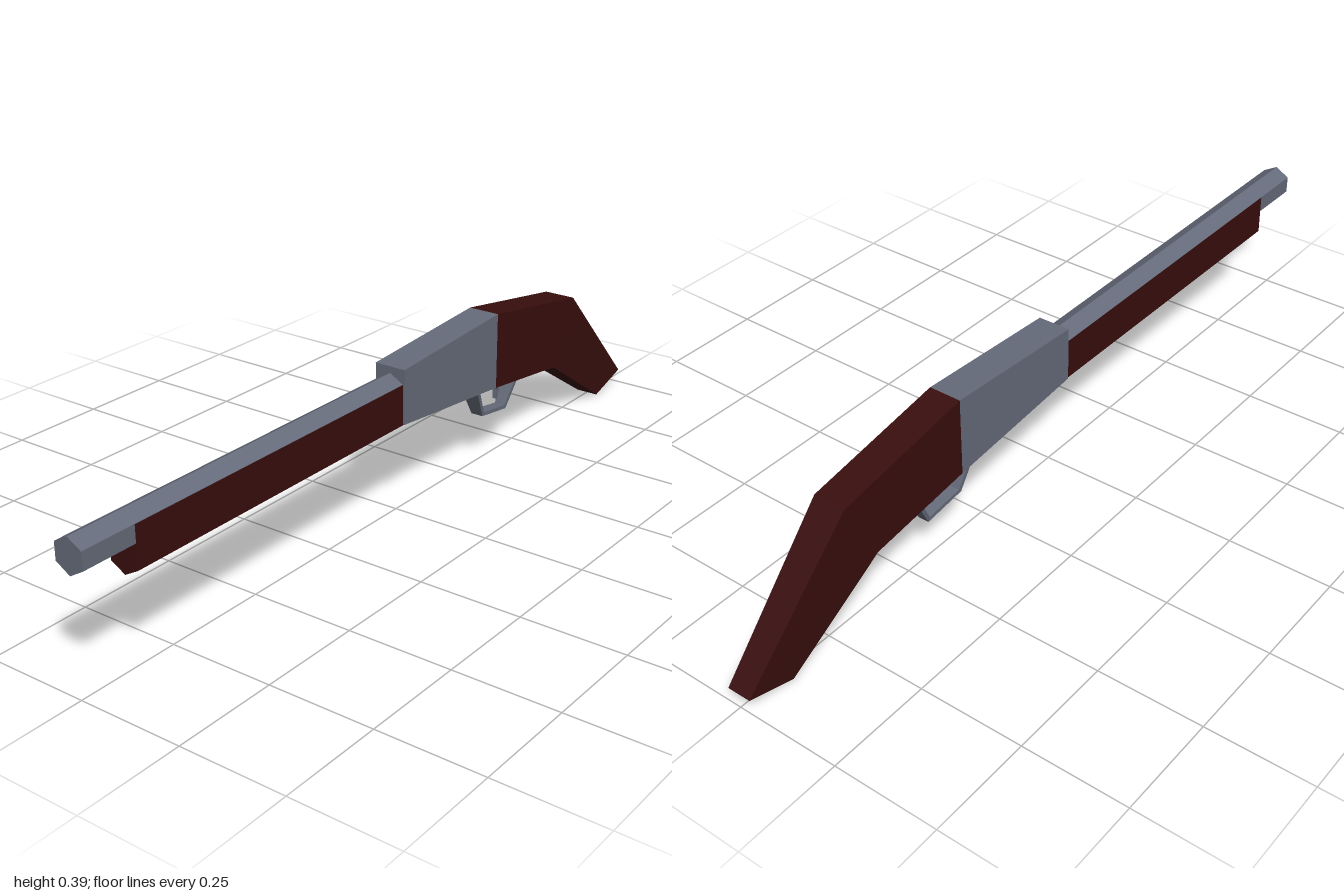
import * as THREE from 'three';

const steel = new THREE.MeshStandardMaterial({ color: 0x666c7b });
steel.name = 'blued steel';
const wood = new THREE.MeshStandardMaterial({ color: 0x390e0e });
wood.name = 'dark red wood';

// Joins matching rings of [x, y, z] points, front to back, and caps both ends.
// Each ring runs counter-clockwise as seen from the front.
function loft(name, material, rings) {
  const pos = [];
  const n = rings[0].length;
  const tri = (a, b, c) => pos.push(...a, ...b, ...c);
  for (let r = 0; r < rings.length - 1; r++) {
    const a = rings[r], b = rings[r + 1];
    for (let i = 0; i < n; i++) {
      const j = (i + 1) % n;
      tri(a[i], b[i], a[j]);
      tri(a[j], b[i], b[j]);
    }
  }
  const first = rings[0], last = rings[rings.length - 1];
  for (let i = 1; i < n - 1; i++) {
    tri(first[0], first[i], first[i + 1]);
    tri(last[0], last[i + 1], last[i]);
  }
  const geometry = new THREE.BufferGeometry();
  geometry.setAttribute('position', new THREE.Float32BufferAttribute(pos, 3));
  geometry.computeVertexNormals();
  const mesh = new THREE.Mesh(geometry, material);
  mesh.name = name;
  return mesh;
}

// Four-sided section: half width, lower edge (z, y), upper edge (z, y)
const slab = (w, [z0, y0], [z1, y1]) =>
  [[-w, y0, z0], [w, y0, z0], [w, y1, z1], [-w, y1, z1]];

// Upright six-sided section with points at top and bottom
const hex = (w, bottom, sideLow, sideHigh, top, z) => [
  [0, bottom, z], [w, sideLow, z], [w, sideHigh, z],
  [0, top, z], [-w, sideHigh, z], [-w, sideLow, z],
];

export function createModel() {
  const model = new THREE.Group();
  model.name = 'shotgun';

  // Barrel and the wooden fore-end wrapped around its sides
  model.add(loft('barrel', steel, [1, 0].map(z => hex(0.0353, 0.268, 0.289, 0.33, 0.35, z))));
  model.add(loft('foreEnd', wood, [0.865, 0].map(z => hex(0.0357, 0.211, 0.231, 0.329, 0.345, z))));

  // Wedge-shaped receiver
  model.add(loft('receiver', steel, [
    slab(0.04, [0.022, 0.233], [0.022, 0.366]),
    slab(0.04, [-0.357, 0.198], [-0.357, 0.388]),
  ]));

  // Bent stock, narrowing toward the butt
  model.add(loft('stock', wood, [
    slab(0.04, [-0.357, 0.198], [-0.357, 0.388]),
    slab(0.04, [-0.628, 0.165], [-0.712, 0.33]),
    slab(0.029, [-0.882, 0.002], [-1, 0.037]),
  ]));

  // Trigger guard: a thin strap, narrow at the bottom
  model.add(loft('triggerGuard', steel, [
    slab(0.025, [-0.297, 0.207], [-0.307, 0.207]),
    slab(0.016, [-0.336, 0.124], [-0.343, 0.132]),
    slab(0.014, [-0.444, 0.108], [-0.439, 0.118]),
    slab(0.024, [-0.488, 0.188], [-0.476, 0.188]),
  ]));

  // Curved trigger
  model.add(loft('trigger', steel, [
    slab(0.008, [-0.402, 0.2], [-0.422, 0.2]),
    slab(0.007, [-0.414, 0.168], [-0.424, 0.168]),
    slab(0.005, [-0.412, 0.142], [-0.417, 0.14]),
  ]));

  return model;
}
